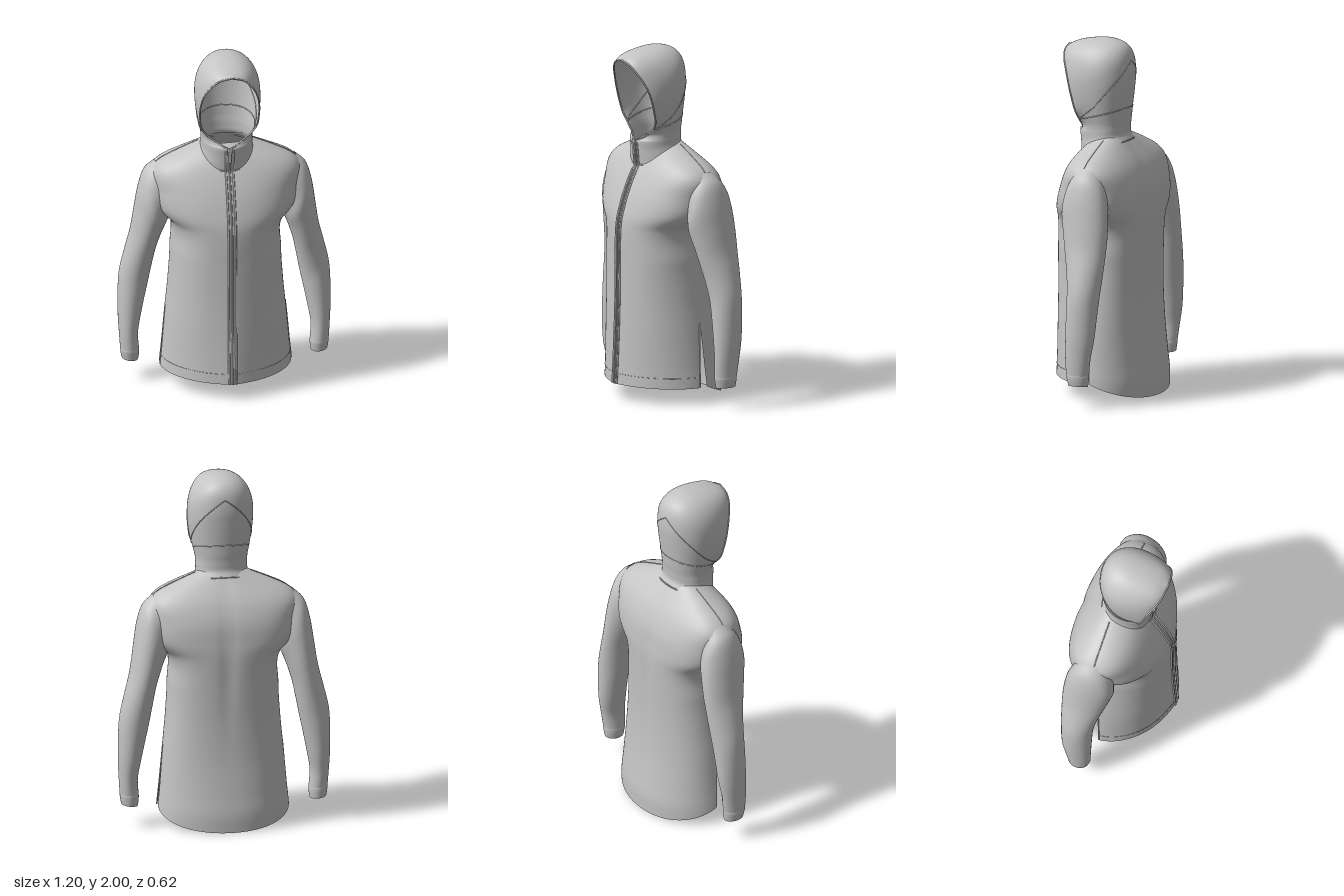
import * as THREE from 'three';
import { mergeVertices } from 'three/addons/utils/BufferGeometryUtils.js';

const RAD = Math.PI / 180;
const spow = (v, p) => Math.sign(v) * Math.pow(Math.abs(v), p);

// Smooth interpolation through rows of [key, value, value, ...]
function profile(rows) {
  const size = rows[0].length - 1;
  const spline = new THREE.CubicInterpolant(rows.map(r => r[0]), rows.flatMap(r => r.slice(1)), size, new Float32Array(size));
  return key => Array.from(spline.evaluate(key));
}

// Smooth surface from a point rule f(u, v), both 0..1
function surface(f, nu, nv) {
  const pos = [], index = [];
  for (let j = 0; j <= nv; j++)
    for (let i = 0; i <= nu; i++) pos.push(...f(i / nu, j / nv));
  for (let j = 0; j < nv; j++)
    for (let i = 0; i < nu; i++) {
      const a = j * (nu + 1) + i, b = a + 1, c = a + nu + 1, d = c + 1;
      index.push(a, b, d, a, d, c);
    }
  let geo = new THREE.BufferGeometry();
  geo.setAttribute('position', new THREE.Float32BufferAttribute(pos, 3));
  geo.setIndex(index);
  geo = mergeVertices(geo, 1e-5);
  geo.computeVertexNormals();
  return geo;
}

// Thin tube along a rule f(t)
function cord(f, radius, steps = 40) {
  const pts = [];
  for (let i = 0; i <= steps; i++) pts.push(new THREE.Vector3(...f(i / steps)));
  return new THREE.TubeGeometry(new THREE.CatmullRomCurve3(pts), steps * 2, radius, 6);
}

// Body: y, half width, front z, back z, front roundness, back roundness
const body = profile([
  [0, .375, .302, -.305, 1.8, 2.1], [.1, .37, .3, -.305, 1.8, 2.15], [.2, .36, .295, -.292, 1.85, 2.2],
  [.4, .342, .286, -.27, 2, 2.3], [.6, .322, .28, -.262, 2.15, 2.4], [.8, .31, .278, -.265, 2.3, 2.5],
  [1, .32, .276, -.27, 2.3, 2.7], [1.04, .358, .271, -.269, 2.3, 2.75], [1.08, .388, .262, -.266, 2.3, 2.8],
  [1.2, .41, .223, -.25, 2.3, 2.8], [1.3, .414, .175, -.21, 2.3, 2.7], [1.35, .368, .145, -.178, 2.3, 2.5],
  [1.4, .27, .11, -.14, 2.2, 2.3], [1.46, .13, .05, -.095, 2, 2],
]);
const SIDE_Z = -.035, TOP = 1.46;

// angle 0 is the front, 90 degrees the +x side
function bodyPoint(angle, y) {
  const [w, zf, zb, nf, nb] = body(y);
  const front = Math.cos(angle) > 0, p = 2 / (front ? nf : nb);
  const c = spow(Math.cos(angle), p), x = w * spow(Math.sin(angle), p);
  let z = SIDE_Z + c * (front ? zf - SIDE_Z : SIDE_Z - zb);
  // raised zip line in front, shallow groove down the spine
  if (front) z += .008 * Math.exp(-((x / .06) ** 2)) * Math.min(1, Math.max(0, (1.2 - y) / .3));
  else z += .01 * Math.exp(-((x / .04) ** 2) - (((y - 1) / .35) ** 2));
  return [x, y, z];
}
const slit = y => .1 * Math.max(0, 1 - y / .45);

function frontPanel(u, v) {
  const y = .095 + (TOP - .095) * v;
  return bodyPoint((u * 2 - 1) * (Math.PI / 2 - slit(y)), y);
}
function backPanel(u, v) {
  const hem = .1 * (1 - Math.pow(Math.sin(u * Math.PI), .87));
  const y = hem + (TOP - hem) * v, gap = slit(y);
  return bodyPoint(Math.PI / 2 + gap + u * (Math.PI - 2 * gap), y);
}

// Hood and collar: row, edge y, edge z, widest z, back y, back z, half width, opening angle
const hood = profile([
  [0, 1.945, .26, .25, 1.95, .25, 0, 65], [1, 1.926, .252, .232, 1.976, .19, .072, 65],
  [2, 1.885, .235, .2, 1.995, .1, .12, 65], [3, 1.835, .21, .15, 2, 0, .153, 65],
  [4, 1.78, .188, .1, 1.975, -.08, .174, 65], [5, 1.72, .17, .06, 1.92, -.122, .183, 65],
  [6, 1.66, .155, .04, 1.83, -.135, .181, 65], [7, 1.6, .14, .03, 1.74, -.13, .172, 65],
  [8, 1.55, .133, .025, 1.62, -.117, .158, 50], [9, 1.51, .14, .02, 1.56, -.112, .148, 28],
  [10, 1.485, .158, .018, 1.53, -.108, .145, 12], [11, 1.47, .17, .015, 1.5, -.106, .145, 0],
  [12, 1.42, .165, .01, 1.465, -.106, .147, 0], [13, 1.335, .157, 0, 1.435, -.122, .166, 0],
]);

// side runs -1..1 from one edge of the opening round the back to the other
function hoodPoint(side, row) {
  const [ey, ez, cz, by, bz, w, deg] = hood(row);
  const open = Math.max(0, deg) * RAD, angle = open + (1 - Math.abs(side)) * (Math.PI - open);
  const p = 2 / 2.08, c = spow(Math.cos(angle), p);
  const z = c > 0 ? cz + (ez - cz) * c / Math.pow(Math.cos(open), p) : cz + (cz - bz) * c;
  const y = ey + (by - ey) * (ez - z) / (ez - bz);
  return [Math.sign(side) * Math.max(0, w) * Math.pow(Math.max(0, Math.sin(angle)), p), y, z];
}

// Sleeve: row, outer x, outer y, inner x, inner y, front z, back z
const sleeve = profile([
  [0, .395, 1.335, .315, 1.0, .07, -.165], [1, .455, 1.275, .325, .975, .08, -.185],
  [2, .488, 1.17, .34, .94, .086, -.195], [3, .51, 1.03, .362, .88, .066, -.2],
  [4, .53, .9, .386, .8, .043, -.198], [5, .56, .78, .406, .7, .018, -.192],
  [6, .588, .66, .425, .6, .002, -.184], [7, .597, .55, .446, .5, 0, -.178],
  [8, .598, .4, .47, .38, 0, -.168], [9, .592, .28, .486, .28, -.001, -.15], [10, .586, .19, .481, .185, -.004, -.138],
]);
const cuff = profile([
  [0, .582, .195, .484, .19, -.008, -.134], [1, .586, .185, .48, .18, -.004, -.138],
  [2, .583, .155, .481, .15, -.01, -.135], [3, .578, .13, .485, .12, -.016, -.131],
]);
function limbPoint(table, row, turn, mirror) {
  const [ox, oy, ix, iy, zf, zb] = table(row);
  const a = turn * Math.PI * 2, k = (1 - Math.cos(a)) / 2;
  return [mirror * (ox + (ix - ox) * k), oy + (iy - oy) * k, (zf + zb) / 2 + (zf - zb) / 2 * Math.sin(a)];
}

export function createModel() {
  const cloth = new THREE.MeshStandardMaterial({ color: 0xc4c4c4, side: THREE.DoubleSide });
  cloth.name = 'grey cloth';
  const jacket = new THREE.Group();
  jacket.name = 'hoodedJacket';
  const add = (name, geo) => {
    const mesh = new THREE.Mesh(geo, cloth);
    mesh.name = name;
    jacket.add(mesh);
    return mesh;
  };

  // Body panels with side slits and a dropped back hem
  add('frontPanel', surface(frontPanel, 64, 80));
  add('backPanel', surface(backPanel, 64, 80));

  // Hood, collar and their seams
  add('hoodAndCollar', surface((u, v) => hoodPoint(1 - u * 2, 13 * (1 - v)), 64, 78));
  add('collarSeam', cord(t => hoodPoint(t * 2 - 1, 13), .004, 48));
  add('napeSeam', cord(t => hoodPoint(t * 2 - 1, 8), .003, 40));
  for (const m of [1, -1]) {
    add('hoodRim', cord(t => hoodPoint(m, t * 11), .005, 44));
    add('hoodSeam', cord(t => hoodPoint(m * Math.max(1 - t, 1e-4), 8 - 2.6 * t), .003));
  }

  // Front zip: teeth between two piped edges, then the pull
  const zipLine = (x, out) => t => {
    const y = .095 + t * 1.37;
    const z = y > 1.335 ? .157 + (y - 1.335) * .1 : Math.max(bodyPoint(0, y)[2], .157);
    return [x, y, z + out];
  };
  add('zipTeeth', cord(zipLine(0, .001), .005, 50));
  for (const m of [1, -1]) add('zipEdge', cord(zipLine(m * .02, 0), .006, 50));
  const pull = add('zipPull', new THREE.BoxGeometry(.016, .07, .009));
  pull.position.set(0, 1.425, .178);
  pull.rotation.x = .1;
  const slider = add('zipSlider', new THREE.BoxGeometry(.026, .03, .014));
  slider.position.set(0, 1.465, .174);

  // Hem stitching
  add('frontHemSeam', cord(t => bodyPoint((t * 2 - 1) * 1.47, .155), .0015, 60));

  for (const m of [1, -1]) {
    // Sleeve and cuff; the turn is reversed on the mirrored side
    const turn = u => m > 0 ? u : 1 - u;
    add('sleeve', surface((u, v) => limbPoint(sleeve, v * 10, turn(u), m), 40, 60));
    add('cuff', surface((u, v) => limbPoint(cuff, v * 3, turn(u), m), 40, 9));
    // Shoulder seam and bound slit edge
    add('shoulderSeam', cord(t => bodyPoint(m * Math.PI / 2, 1.32 + t * .13), .003, 16));
    add('slitEdge', cord(t => {
      const y = .1 + t * .35;
      return bodyPoint(m * (Math.PI / 2 - slit(y)), y);
    }, .004, 16));
  }
  return jacket;
}
